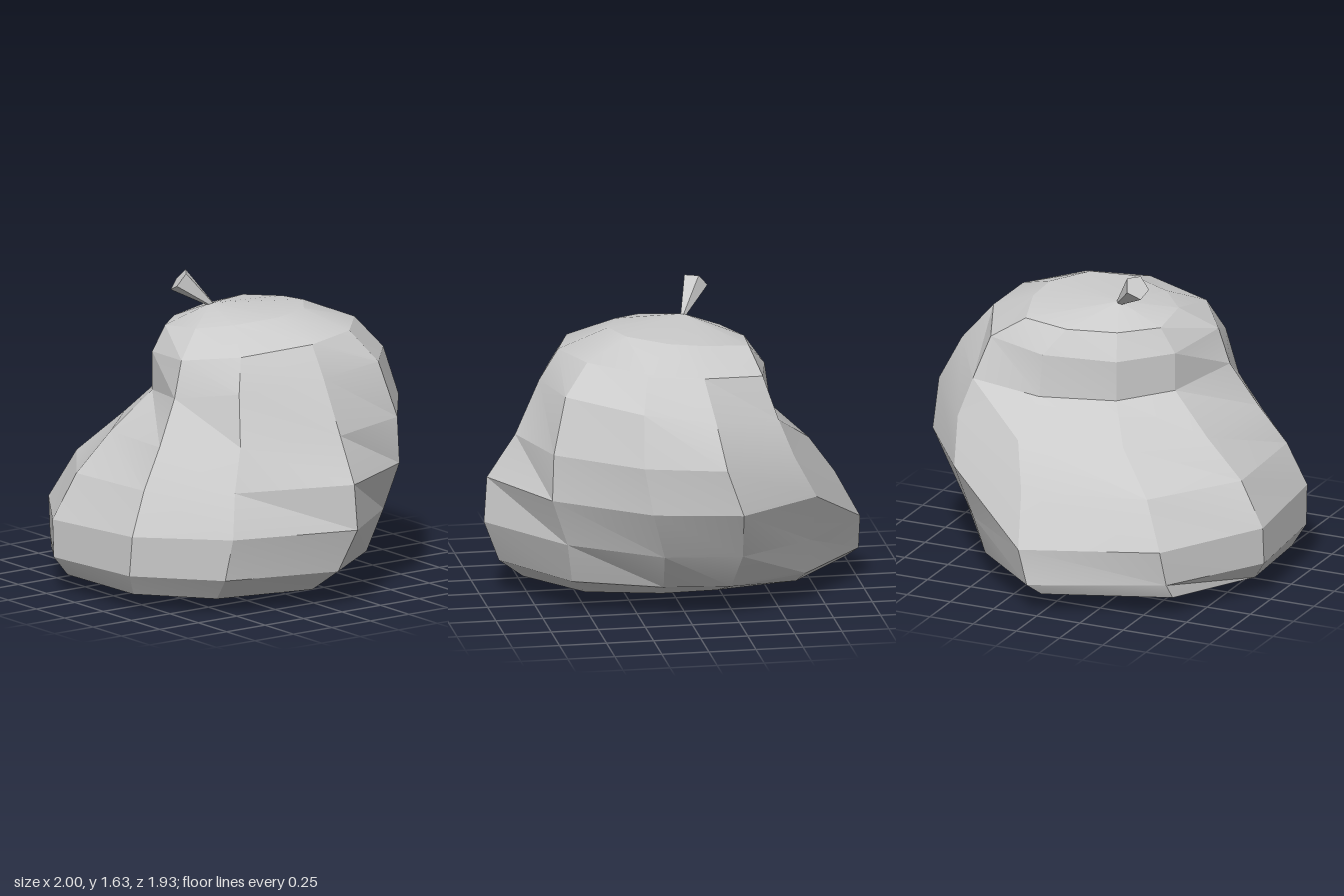
import * as THREE from 'three';
import { toCreasedNormals } from 'three/addons/utils/BufferGeometryUtils.js';

const material = new THREE.MeshStandardMaterial({ color: 0xcccccc });
const crease = 0.28;

// Directions of the ten ribs around the body, in degrees from the front
const ribs = [-165, -131, -99, -55, -18, 20, 52, 93, 128, 166];

// Cross-sections, bottom to top: centre, slope along x and z, turn in degrees, reach of each rib
const sections = [
  { centre: [0, 0.09, 0.1], slope: [-0.015, 0], turn: 3, reach: [0.58, 0.78, 0.95, 0.88, 0.82, 0.82, 0.79, 0.77, 0.66, 0.56] },
  { centre: [0, 0.18, 0.05], slope: [0.015, 0.015], turn: 3, reach: [0.73, 0.83, 1.01, 0.93, 0.94, 0.94, 0.92, 0.91, 0.78, 0.68] },
  { centre: [0, 0.39, 0], slope: [0.035, 0.01], turn: 3, reach: [0.84, 0.85, 1.01, 0.98, 0.99, 0.99, 0.97, 1.00, 0.83, 0.81] },
  { centre: [0.03, 0.64, -0.03], slope: [0.025, -0.01], turn: 1, reach: [0.97, 0.93, 0.90, 0.88, 0.89, 0.90, 0.87, 0.95, 0.88, 0.90] },
  { centre: [0.05, 0.86, -0.1], slope: [0.04, -0.04], turn: -2, reach: [0.89, 0.83, 0.77, 0.70, 0.76, 0.81, 0.77, 0.78, 0.81, 0.83] },
  { centre: [0.05, 1.08, -0.1], slope: [0.14, -0.07], turn: -3, reach: [0.77, 0.74, 0.57, 0.50, 0.53, 0.66, 0.69, 0.65, 0.71, 0.74] },
  { centre: [0.05, 1.28, -0.1], slope: [0.1, -0.07], turn: -3, reach: [0.60, 0.64, 0.54, 0.50, 0.53, 0.60, 0.58, 0.55, 0.55, 0.58] },
  { centre: [-0.02, 1.405, -0.06], slope: [0.1, -0.07], turn: 0, reach: [0.39, 0.46, 0.37, 0.34, 0.39, 0.38, 0.35, 0.35, 0.37, 0.38] },
];

function sectionPoints({ centre: [cx, y, cz], slope, turn, reach }) {
  return ribs.map((rib, i) => {
    const angle = THREE.MathUtils.degToRad(rib + turn);
    const x = cx + Math.sin(angle) * reach[i];
    const z = cz + Math.cos(angle) * reach[i];
    return new THREE.Vector3(x, y + slope[0] * x + slope[1] * z, z);
  });
}

// Skin between the cross-sections, closed by a fan at each pole
function bodyGeometry() {
  const rings = sections.map(sectionPoints);
  const bottom = new THREE.Vector3(0, 0, 0.1);
  const top = new THREE.Vector3(-0.09, 1.46, 0.05);
  const last = rings.length - 1;
  const points = [];
  for (let j = 0; j < ribs.length; j++) {
    const k = (j + 1) % ribs.length;
    points.push(bottom, rings[0][k], rings[0][j]);
    for (let i = 0; i < last; i++) {
      const [a, b, c, d] = [rings[i][j], rings[i][k], rings[i + 1][k], rings[i + 1][j]];
      points.push(a, b, d, b, c, d);
    }
    points.push(rings[last][j], rings[last][k], top);
  }
  return new THREE.BufferGeometry().setFromPoints(points);
}

export function createModel() {
  const model = new THREE.Group();
  model.name = 'lumpyGourd';

  const body = new THREE.Mesh(toCreasedNormals(bodyGeometry(), crease), material);
  body.name = 'body';
  model.add(body);

  // Flared stem leaning forward from the crown
  const base = new THREE.Vector3(-0.085, 1.445, 0.04);
  const tip = new THREE.Vector3(-0.178, 1.588, 0.192);
  const axis = tip.clone().sub(base);
  const flare = new THREE.CylinderGeometry(0.07, 0.012, axis.length(), 5, 1, false, Math.PI / 5);
  const stem = new THREE.Mesh(toCreasedNormals(flare, crease), material);
  stem.name = 'stem';
  stem.position.copy(base).lerp(tip, 0.5);
  stem.quaternion.setFromUnitVectors(new THREE.Vector3(0, 1, 0), axis.normalize());
  model.add(stem);

  return model;
}
